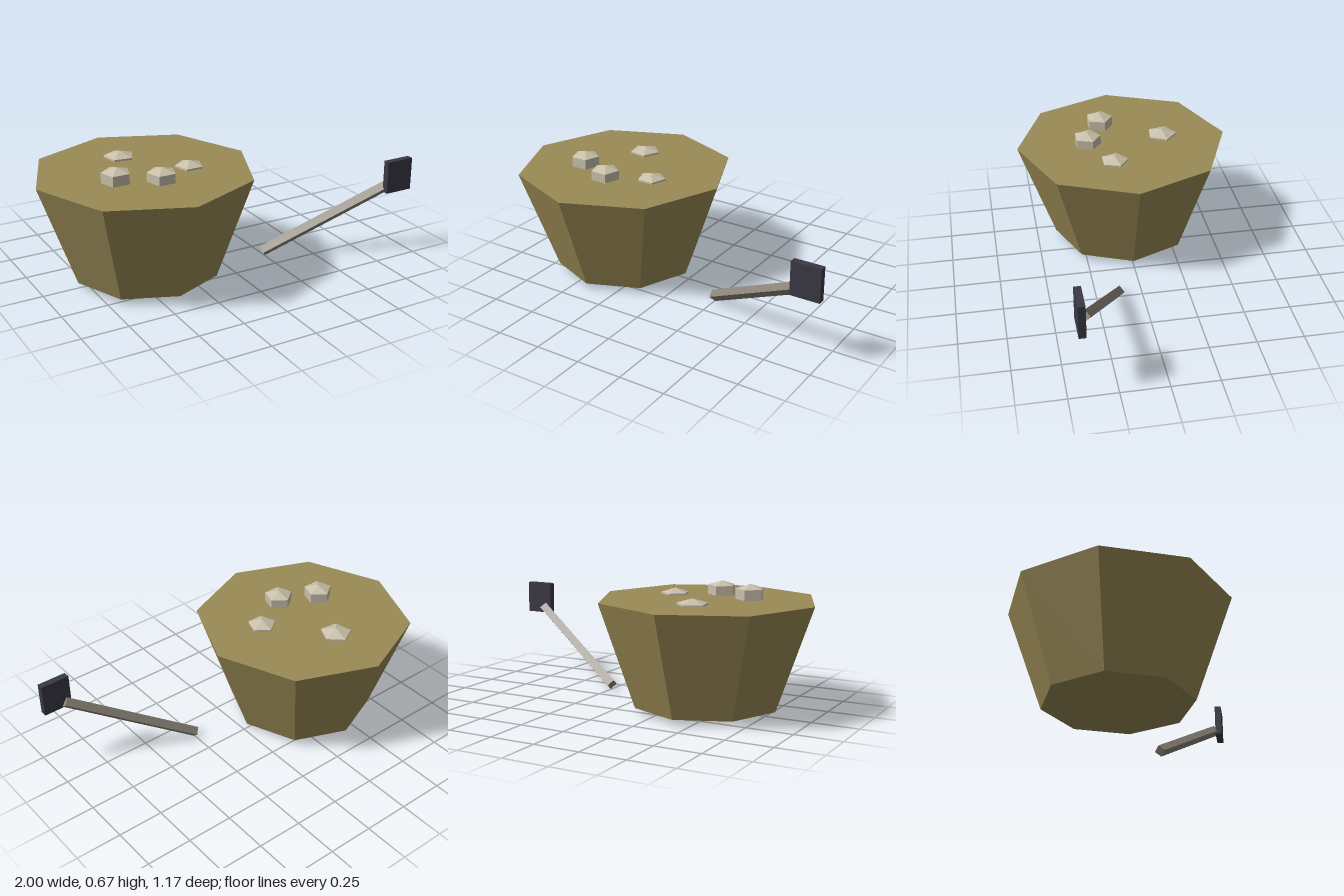
import * as THREE from 'three';

const material = (color) => new THREE.MeshStandardMaterial({ color, flatShading: true });

export function createModel() {
  const model = new THREE.Group();
  model.name = 'tubWithStonesAndMallet';

  const add = (name, geometry, mat, parent = model) => {
    const mesh = new THREE.Mesh(geometry, mat);
    mesh.name = name;
    parent.add(mesh);
    return mesh;
  };
  // Faceted solid turned around the y axis from [radius, height] pairs
  const turned = (profile, sides, start = 0) =>
    new THREE.LatheGeometry(profile.map(([r, y]) => new THREE.Vector2(r, y)), sides, start);

  const earth = material(0x9a8a56);
  const stone = material(0xc8c0aa);
  const wood = material(0x8a8478);
  const iron = material(0x3a3944);

  // Eight-sided tapering body with a shallow pointed underside
  const body = add('body', turned([[0, 0.003], [0.392, 0.032], [0.587, 0.59], [0, 0.59]], 8), earth);
  body.position.x = -0.413;

  // Five-sided stones set into the top: x, z, radius, shoulder height, peak height, turn
  const stones = [
    [-0.612, 0.098, 0.077, 0.645, 0.67, 0],
    [-0.406, 0.196, 0.077, 0.64, 0.664, 0],
    [-0.187, 0.077, 0.077, 0.6, 0.625, 0],
    [-0.443, -0.235, 0.084, 0.6, 0.625, -0.12],
  ];
  for (const [x, z, r, shoulder, peak, turn] of stones) {
    const profile = [[0, 0.52], [r, 0.545], [r, shoulder], [0, peak]];
    const mesh = add('stone', turned(profile, 5, Math.PI), stone);
    mesh.position.set(x, 0, z);
    mesh.rotation.y = turn;
  }

  // Tool leaning beside the body: square handle standing on its edge, flat head
  const tool = new THREE.Group();
  tool.name = 'tool';
  model.add(tool);
  const low = new THREE.Vector3(0.242, 0.031, 0.128);
  const high = new THREE.Vector3(0.882, 0.395, 0.395);
  const handle = add('toolHandle', new THREE.BoxGeometry(0.045, 0.045, low.distanceTo(high)), wood, tool);
  handle.position.copy(low).lerp(high, 0.5);
  handle.lookAt(high);
  handle.rotateZ(Math.PI / 4);

  const head = add('toolHead', new THREE.BoxGeometry(0.16, 0.18, 0.037), iron, tool);
  head.position.set(0.92, 0.45, 0.419);

  return model;
}
